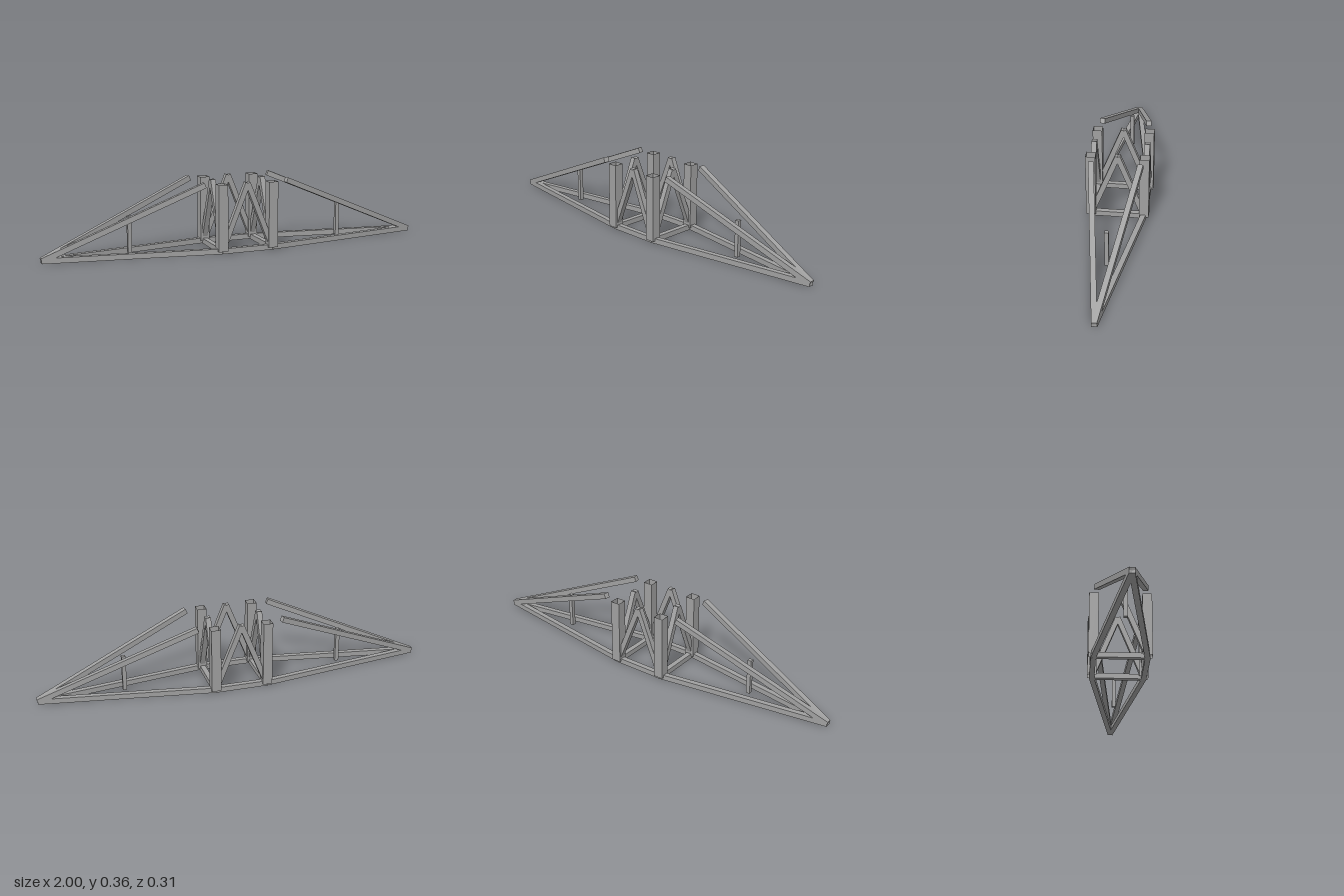
import * as THREE from 'three';

const W = 0.0266;        // beam thickness
const Y0 = W / 2;        // height of the lower joints
const Y1 = 0.346;        // height of the upper joints
const C = 0.133;         // half spacing of the corner posts
const TIP = 0.995;       // x of the end joints

export function createModel() {
  const group = new THREE.Group();
  const steel = new THREE.MeshStandardMaterial({ color: 0xa0a0a0, side: THREE.DoubleSide });
  steel.name = 'steel grey';

  // Square bar running from a to b
  function beam(name, a, b, width = W) {
    const from = new THREE.Vector3(...a);
    const to = new THREE.Vector3(...b);
    const mesh = new THREE.Mesh(new THREE.BoxGeometry(width, width, from.distanceTo(to)), steel);
    mesh.name = name;
    mesh.position.copy(from).add(to).multiplyScalar(0.5);
    mesh.lookAt(to);
    group.add(mesh);
  }

  // Open square tube for the corner posts
  const postGeometry = new THREE.CylinderGeometry(
    0.048 / Math.SQRT2, 0.048 / Math.SQRT2, Y1 - Y0, 4, 1, true, Math.PI / 4).toNonIndexed();
  postGeometry.computeVertexNormals();

  for (const s of [-1, 1]) {
    // Square base frame
    beam('baseFrameLong', [-C, Y0, s * C], [C, Y0, s * C]);
    beam('baseFrameCross', [s * C, Y0, -C], [s * C, Y0, C]);

    for (const t of [-1, 1]) {
      const post = new THREE.Mesh(postGeometry, steel);
      post.name = 'cornerPost';
      post.position.set(s * C, (Y0 + Y1) / 2, t * C);
      group.add(post);

      // Inverted V braces on the four sides
      beam('sideBrace', [t * C, Y0, s * C], [0, Y1, s * C]);
      beam('endBrace', [s * C, Y0, t * C], [s * C, Y1, 0]);

      // Lower and rising arms meeting at each tip
      beam('lowerArm', [s * TIP, Y0, 0], [s * C, Y0, t * C]);
      beam('risingArm', [s * TIP, Y0, 0], [s * 0.215, Y1, t * 0.1205]);
    }

    // Small upright between the arms
    const strut = new THREE.Mesh(new THREE.BoxGeometry(0.02, 0.197 - Y0, 0.02), steel);
    strut.name = 'armStrut';
    strut.position.set(s * 0.565, (0.197 + Y0) / 2, 0);
    group.add(strut);
  }
  return group;
}
